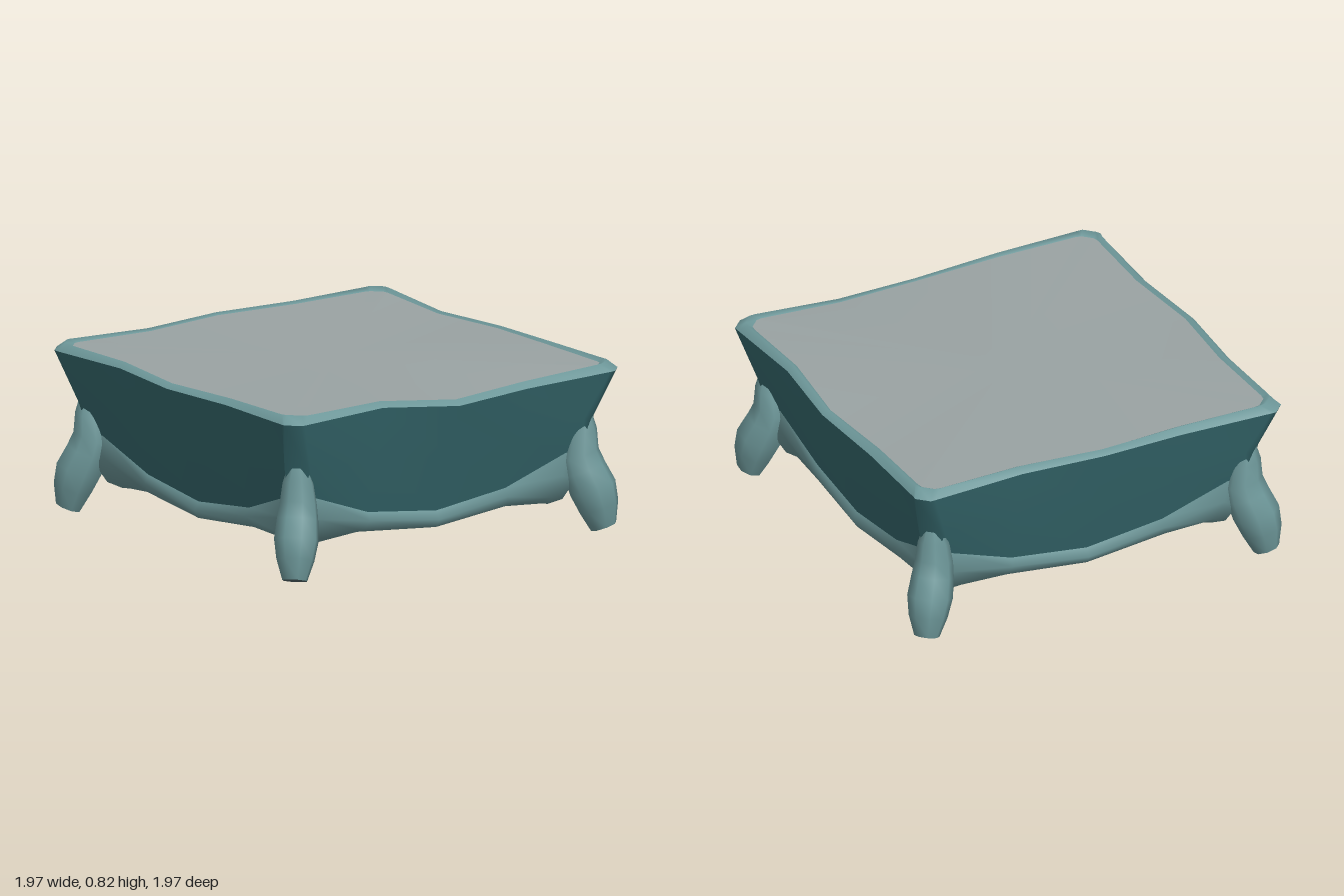
import * as THREE from 'three';
import { mergeVertices } from 'three/addons/utils/BufferGeometryUtils.js';

// Height ripple of the top rim on each side (front, +x, back, -x) at quarter, middle, quarter
const RIPPLE = [[0.015, -0.03, -0.015], [0.015, 0, -0.015], [0.01, 0.015, 0], [0.01, 0, 0]];

// A wavy square cross-section with chamfered corners.
// post, end, quarter: [along, out, y], mid: [out, y]
function section(post, end, quarter, mid, ripple = 0) {
  const points = [];
  for (let side = 0; side < 4; side++) {
    const mirror = ([a, d, y]) => [-a, d, y];
    const [w0, w1, w2] = RIPPLE[side].map((w) => w * ripple);
    const row = [
      mirror(post), mirror(end),
      [-quarter[0], quarter[1], quarter[2] + w0],
      [0, mid[0], mid[1] + w1],
      [quarter[0], quarter[1], quarter[2] + w2],
      end, post,
    ];
    for (const [a, d, y] of row) {
      const p = new THREE.Vector3(a, y, d);
      points.push(p.applyAxisAngle(new THREE.Vector3(0, 1, 0), side * Math.PI / 2));
    }
  }
  return points;
}

// A section shrunk to a single point, used to close a surface
const centre = (y) => Array.from({ length: 28 }, () => new THREE.Vector3(0, y, 0));

// Skins a list of rings, ordered from top to bottom, with smooth normals
function loft(rings) {
  const n = rings[0].length;
  const positions = rings.flat().flatMap((p) => [p.x, p.y, p.z]);
  const index = [];
  for (let i = 0; i < rings.length - 1; i++) {
    for (let j = 0; j < n; j++) {
      const k = (j + 1) % n;
      const a = i * n + j, b = a + n, c = (i + 1) * n + k, d = i * n + k;
      index.push(a, b, c, a, c, d);
    }
  }
  let geometry = new THREE.BufferGeometry();
  geometry.setAttribute('position', new THREE.Float32BufferAttribute(positions, 3));
  geometry.setIndex(index);
  geometry = mergeVertices(geometry, 1e-4);
  geometry.computeVertexNormals();
  return geometry;
}

function part(name, geometry, color) {
  const mesh = new THREE.Mesh(geometry, new THREE.MeshStandardMaterial({ color }));
  mesh.name = name;
  return mesh;
}

// Leg growing out of the corner post, flaring at the knee: [offset, y, radius]
function legGeometry() {
  const profile = [
    [0.83, 0.6, 0.035], [0.825, 0.48, 0.075], [0.82, 0.38, 0.09], [0.835, 0.31, 0.1],
    [0.864, 0.22, 0.108], [0.885, 0.13, 0.092], [0.9, 0.035, 0.06],
  ];
  const sides = 8;
  const rings = profile.map(([c, y, r]) => Array.from({ length: sides }, (_, i) => {
    const t = ((i + 0.5) / sides) * Math.PI * 2;
    const x = Math.sin(t) * r, z = Math.cos(t) * r;
    // tilt each ring so it stays square to the splayed leg
    return new THREE.Vector3(c + x, y + (x + z) * 0.25, c + z);
  }));
  const sole = rings.at(-1);
  return { leg: loft(rings), foot: loft([sole, sole.map(() => new THREE.Vector3(0.9, 0.035, 0.9))]) };
}

export function createModel() {
  const model = new THREE.Group();
  model.name = 'footedTray';
  const teal = 0x376b70, paleTeal = 0x6d9799, grey = 0x9aa3a3, dark = 0x56696c;

  // Top rim sections
  const inset = section([0.86, 0.905, 0.82], [0.83, 0.91, 0.82], [0.42, 0.9, 0.815], [0.94, 0.81], 0.8);
  const lip = section([0.88, 0.93, 0.838], [0.85, 0.935, 0.835], [0.42, 0.92, 0.825], [0.955, 0.82], 0.9);
  const outer = section([0.915, 0.97, 0.8], [0.89, 0.965, 0.797], [0.42, 0.95, 0.797], [0.985, 0.797], 1);

  // Side panel sections, tapering down to the scooped lower edge
  const waist = section([0.82, 0.9, 0.56], [0.8, 0.885, 0.57], [0.41, 0.88, 0.53], [0.895, 0.52], 0.3);
  const panelFoot = section([0.79, 0.85, 0.38], [0.74, 0.82, 0.4], [0.4, 0.8, 0.275], [0.8, 0.225]);

  // Rounded apron under the panels
  const apronBulge = section([0.77, 0.85, 0.27], [0.72, 0.82, 0.29], [0.4, 0.82, 0.235], [0.825, 0.185]);
  const apronFoot = section([0.74, 0.79, 0.17], [0.69, 0.77, 0.18], [0.42, 0.79, 0.185], [0.8, 0.145]);
  const apronInner = section([0.7, 0.73, 0.14], [0.66, 0.72, 0.145], [0.42, 0.74, 0.17], [0.74, 0.13]);

  model.add(
    part('topSurface', loft([centre(0.82), inset]), grey),
    part('topRim', loft([inset, lip, outer]), paleTeal),
    part('sidePanels', loft([outer, waist, panelFoot]), teal),
    part('apron', loft([panelFoot, apronBulge, apronFoot, apronInner]), paleTeal),
    part('underside', loft([apronInner, centre(0.15)]), dark),
  );

  // Four splayed legs, one per corner
  const { leg, foot } = legGeometry();
  ['frontLeftLeg', 'backLeftLeg', 'backRightLeg', 'frontRightLeg'].forEach((name, i) => {
    const group = new THREE.Group();
    group.name = name;
    group.add(part('leg', leg, paleTeal), part('foot', foot, dark));
    group.rotation.y = i * Math.PI / 2;
    model.add(group);
  });
  return model;
}
